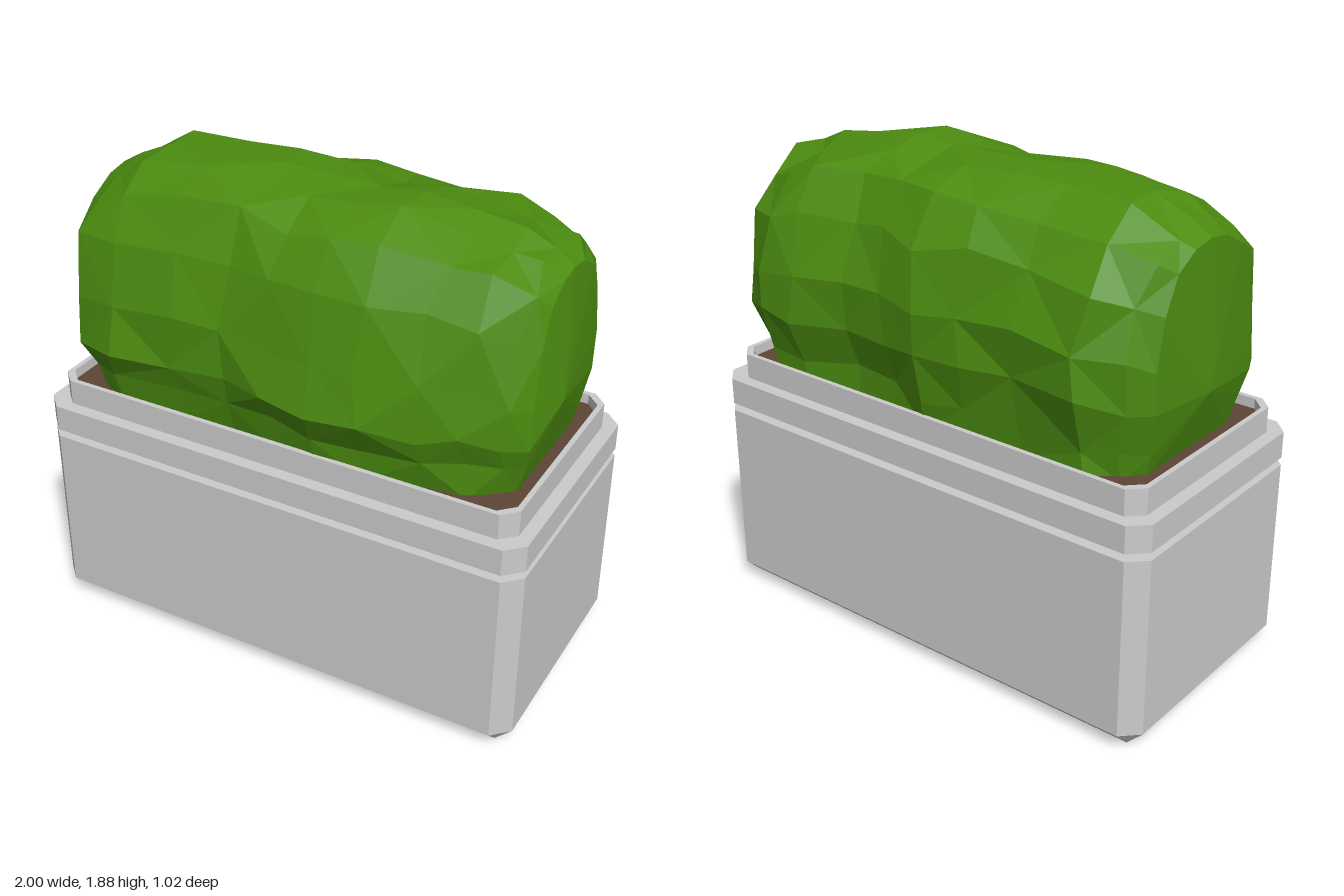
import * as THREE from 'three';

// Skin a stack of equal-length closed rings, optionally closing either end to a centre point
function loft(rings, startCentre, endCentre) {
  const n = rings[0].length, pos = rings.flat(2), idx = [];
  for (let i = 0; i < rings.length - 1; i++) {
    for (let j = 0; j < n; j++) {
      const k = (j + 1) % n;
      const a = i * n + j, b = i * n + k, c = (i + 1) * n + k, d = (i + 1) * n + j;
      if ((i + j) % 2) idx.push(a, b, c, a, c, d);
      else idx.push(a, b, d, b, c, d);
    }
  }
  const cap = (centre, base, flip) => {
    const m = pos.length / 3;
    pos.push(...centre);
    for (let j = 0; j < n; j++) {
      const k = (j + 1) % n;
      idx.push(m, base + (flip ? k : j), base + (flip ? j : k));
    }
  };
  if (startCentre) cap(startCentre, 0, true);
  if (endCentre) cap(endCentre, (rings.length - 1) * n, false);
  const g = new THREE.BufferGeometry();
  g.setAttribute('position', new THREE.Float32BufferAttribute(pos, 3));
  g.setIndex(idx);
  g.computeVertexNormals();
  return g;
}

// Rectangle with cut corners at height y, counter-clockwise from above
function cutRect(y, inset, cut) {
  const x = 1 - inset, z = 0.5 - inset;
  return [
    [x, y, z - cut], [x, y, -z + cut], [x - cut, y, -z], [-x + cut, y, -z],
    [-x, y, -z + cut], [-x, y, z - cut], [-x + cut, y, z], [x - cut, y, z],
  ];
}

function part(name, geometry, color) {
  const mesh = new THREE.Mesh(geometry, new THREE.MeshStandardMaterial({ color, flatShading: true }));
  mesh.name = name;
  return mesh;
}

// Small seeded noise in -1..1
function seeded(seed) {
  return () => {
    seed = (seed * 16807) % 2147483647;
    return (seed / 2147483647) * 2 - 1;
  };
}

function bushGeometry() {
  const rand = seeded(417);
  // Cross-section from back to front: [share of half width, share of height]
  const section = [
    [-0.84, 0], [-0.87, 0.12], [-0.97, 0.33], [-1, 0.52], [-0.87, 0.75], [-0.65, 0.91], [-0.32, 0.98],
    [0, 1], [0.3, 0.98], [0.64, 0.91], [0.84, 0.75], [0.97, 0.47], [1, 0.28], [0.9, 0.16], [0.84, 0],
  ];
  // Stations along the hedge: [x, back z, front z, top y]
  const stations = [
    [-0.9, 0.3, 0.32, 1.74], [-0.84, 0.38, 0.42, 1.79], [-0.69, 0.47, 0.46, 1.855], [-0.42, 0.45, 0.45, 1.865],
    [-0.2, 0.475, 0.44, 1.875], [0, 0.5, 0.48, 1.87], [0.18, 0.455, 0.5, 1.865], [0.36, 0.44, 0.49, 1.88],
    [0.58, 0.5, 0.44, 1.855], [0.73, 0.5, 0.41, 1.83], [0.86, 0.43, 0.34, 1.78], [0.92, 0.3, 0.28, 1.73],
  ];
  const base = 0.94;
  const rings = stations.map(([x, back, front, top], i) => {
    const end = i === 0 || i === stations.length - 1;
    return section.map(([w, h], j) => {
      const edge = j === 0 || j === section.length - 1;
      const wobble = edge || end ? 0 : 0.025;
      const lean = Math.abs(x) > 0.8 ? 1 - 0.06 * Math.max(0, 1 - h * 4) : 1;
      return [
        x * lean + rand() * wobble,
        base + h * (top - base) + (j === 7 ? 0 : rand() * wobble),
        w * (w < 0 ? back : front) * (1 + rand() * wobble * 1.4),
      ];
    });
  });
  return loft(rings, [-0.935, 1.2, 0], [0.97, 1.3, 0.12]);
}

export function createModel() {
  const group = new THREE.Group();

  // Planter wall: chamfered foot, body, groove, band, neck and inner lip
  const profile = [
    [0, 0.065, 0], [0.065, 0, 0.065], [0.765, 0, 0.065], [0.765, 0.05, 0.055], [0.795, 0.05, 0.055],
    [0.795, 0, 0.065], [0.9, 0, 0.065], [0.9, 0.05, 0.055], [1, 0.05, 0.055], [1, 0.07, 0.055], [0.94, 0.07, 0.055],
  ];
  group.add(part('planter', loft(profile.map((p) => cutRect(...p)), [0, 0, 0]), 0xcccccc));

  // Soil surface just below the lip
  group.add(part('soil', loft([cutRect(0.96, 0.07, 0.055)], null, [0, 0.96, 0]), 0x5c4536));

  // Faceted hedge
  group.add(part('bush', bushGeometry(), 0x4c8c10));

  return group;
}
